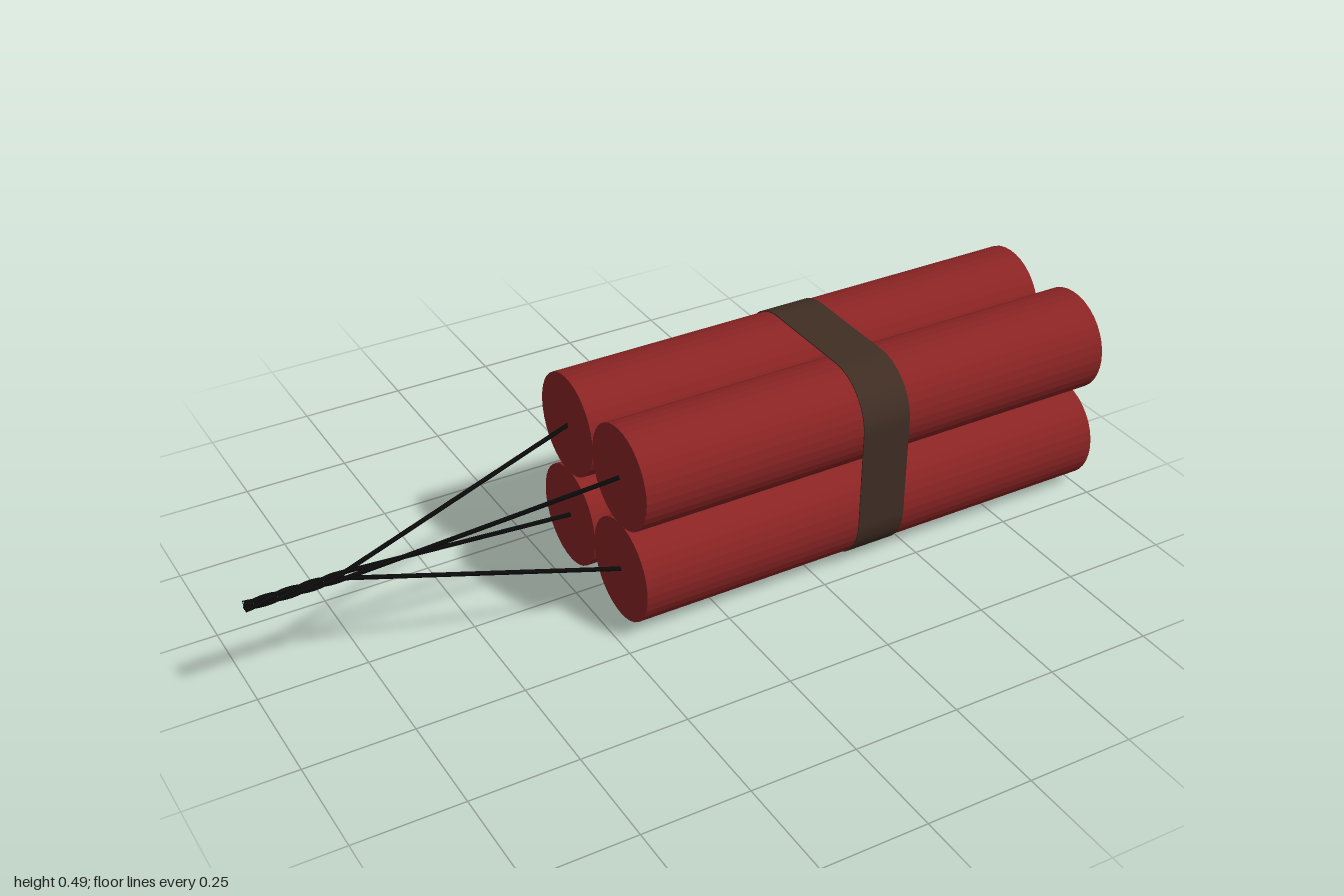
import * as THREE from 'three';

const MID = 0.2435;      // height of the bundle axis
const SPREAD = 0.12;     // stick offset from the axis
const R = 0.121;         // stick radius
const BAND = 0.0025;     // band thickness

// Rounded square around the four sticks, corner radius r
function loop(PathType, r) {
  const path = new PathType(), s = SPREAD;
  path.absarc(s, s, r, 0, Math.PI / 2);
  path.absarc(-s, s, r, Math.PI / 2, Math.PI);
  path.absarc(-s, -s, r, Math.PI, Math.PI * 1.5);
  path.absarc(s, -s, r, Math.PI * 1.5, Math.PI * 2);
  path.closePath();
  return path;
}

export function createModel() {
  const red = new THREE.MeshStandardMaterial({ color: 0x8b2424 });
  red.name = 'stickRed';
  red.flatShading = true;
  const brown = new THREE.MeshStandardMaterial({ color: 0x402e24 });
  brown.name = 'bandBrown';
  const black = new THREE.MeshStandardMaterial({ color: 0x0a0a0a });
  black.name = 'fuseBlack';

  const model = new THREE.Group();
  model.name = 'stickBundle';
  const add = (name, geometry, material, parent = model) => {
    const mesh = new THREE.Mesh(geometry, material);
    mesh.name = name;
    parent.add(mesh);
    return mesh;
  };

  // Four sticks lying along x, each with a fuse that joins the twisted tail
  const stickGeo = new THREE.CylinderGeometry(R, R, 1.2, 36).rotateZ(Math.PI / 2);
  const twistR = 0.0075, wireR = 0.005;
  for (let i = 0; i < 4; i++) {
    const angle = Math.PI / 4 + i * Math.PI / 2;
    const z = Math.sign(Math.cos(angle)) * SPREAD;
    const y = MID + Math.sign(Math.sin(angle)) * SPREAD;
    add('stick', stickGeo, red).position.set(0.4, y, z);

    const fuse = new THREE.Group();
    fuse.name = 'fuse';
    model.add(fuse);

    // Tail strand: one turn of a helix
    const tail = [];
    for (let k = 0; k <= 16; k++) {
      const a = angle - Math.PI / 2 - (k / 16) * Math.PI * 2;
      tail.push(new THREE.Vector3(-0.8 - 0.2 * k / 16, MID + twistR * Math.sin(a), twistR * Math.cos(a)));
    }
    const lead = new THREE.LineCurve3(new THREE.Vector3(-0.195, y, z), tail[0]);
    add('fuseLead', new THREE.TubeGeometry(lead, 1, wireR, 8), black, fuse);
    add('fuseTail', new THREE.TubeGeometry(new THREE.CatmullRomCurve3(tail), 32, wireR, 8), black, fuse);

    // Closed tip and joint
    const tip = add('fuseTip', new THREE.CircleGeometry(wireR, 8).rotateY(-Math.PI / 2), black, fuse);
    tip.position.copy(tail[16]);
    add('fuseJoint', new THREE.SphereGeometry(wireR, 8, 6), black, fuse).position.copy(tail[0]);
  }

  // Band wrapped around all four sticks
  const shape = loop(THREE.Shape, R + BAND);
  shape.holes.push(loop(THREE.Path, R));
  const bandGeo = new THREE.ExtrudeGeometry(shape, { depth: 0.12, bevelEnabled: false, curveSegments: 10 });
  bandGeo.rotateY(Math.PI / 2);
  add('band', bandGeo, brown).position.set(0.34, MID, 0);

  return model;
}
